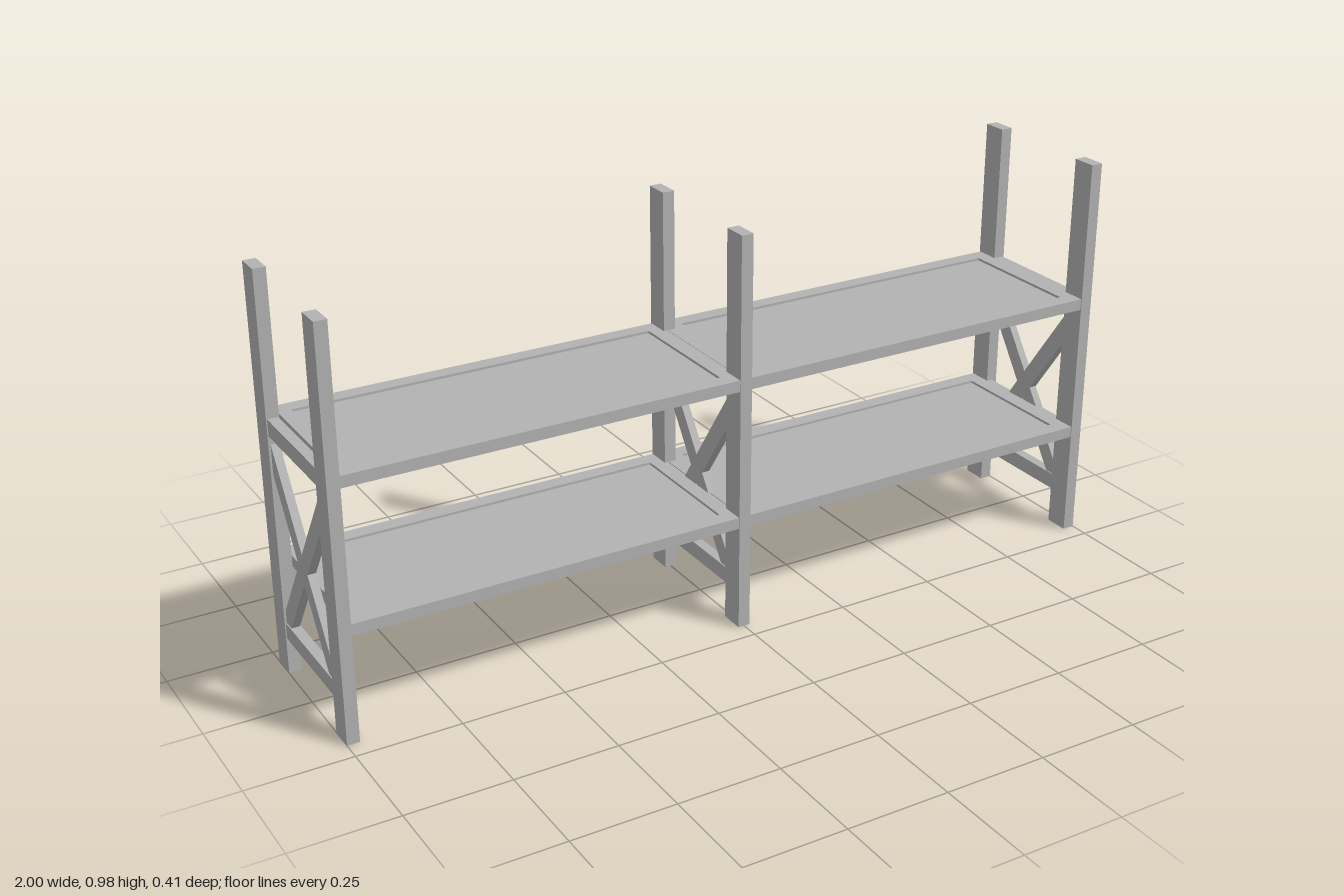
import * as THREE from 'three';

export function createModel() {
  const root = new THREE.Group();
  root.name = 'shelvingUnit';
  const grey = new THREE.MeshStandardMaterial({ color: 0xb2b2b2 });
  grey.name = 'grey';

  const add = (parent, name, geometry) => {
    const mesh = new THREE.Mesh(geometry, grey);
    mesh.name = name;
    parent.add(mesh);
  };
  // Box given by its limits on each axis
  const box = (parent, name, [x0, x1], [y0, y1], [z0, z1]) => {
    const g = new THREE.BoxGeometry(x1 - x0, y1 - y0, z1 - z0);
    g.translate((x0 + x1) / 2, (y0 + y1) / 2, (z0 + z1) / 2);
    add(parent, name, g);
  };

  // Diagonal brace, cut to fit the posts and the lower crossbar
  const brace = (side, depth) => {
    const outline = [[0.142, 0.572], [0.142, 0.498], [-0.113, 0.13], [-0.142, 0.13], [-0.142, 0.162]];
    const shape = new THREE.Shape(outline.map(([z, y]) => new THREE.Vector2(z * side, y)));
    const g = new THREE.ExtrudeGeometry(shape, { depth, bevelEnabled: false });
    g.translate(0, 0, -depth / 2);
    return g.rotateY(-Math.PI / 2);
  };

  // Three upright frames: two posts, two crossbars and an X brace each
  for (const [name, x] of [['rightFrame', -0.985], ['middleFrame', 0], ['leftFrame', 0.985]]) {
    const frame = new THREE.Group();
    frame.name = name;
    frame.position.x = x;
    root.add(frame);
    const w = [-0.015, 0.015];
    box(frame, 'frontPost', w, [0, 0.976], [0.142, 0.203]);
    box(frame, 'backPost', w, [0, 0.976], [-0.203, -0.142]);
    box(frame, 'upperCrossbar', [-0.0125, 0.0125], [0.592, 0.632], [-0.142, 0.142]);
    box(frame, 'lowerCrossbar', [-0.0125, 0.0125], [0.09, 0.13], [-0.142, 0.142]);
    add(frame, 'braceRising', brace(1, 0.02));
    add(frame, 'braceFalling', brace(-1, 0.0196));
  }

  // Four shelves: a rail frame around a recessed panel
  const bays = [['right', -0.966, -0.006], ['left', -0.004, 0.985]];
  const levels = [['lower', 0.26], ['upper', 0.605]];
  for (const [side, x0, x1] of bays) {
    for (const [level, y] of levels) {
      const shelf = new THREE.Group();
      shelf.name = `${level}${side === 'left' ? 'Left' : 'Right'}Shelf`;
      root.add(shelf);
      const h = [y, y + 0.028];
      const inner = side === 'left' ? [0.045, 0.935] : [-0.935, -0.045];
      const long = side === 'left' ? [0.01, 0.975] : [-0.975, -0.01];
      box(shelf, 'frontRail', long, h, [0.163, 0.201]);
      box(shelf, 'backRail', long, h, [-0.201, -0.163]);
      box(shelf, 'endRail', [x0, inner[0]], h, [-0.163, 0.163]);
      box(shelf, 'endRail', [inner[1], x1], h, [-0.163, 0.163]);
      box(shelf, 'panel', inner, [y + 0.008, y + 0.022], [-0.163, 0.163]);
    }
  }
  return root;
}
